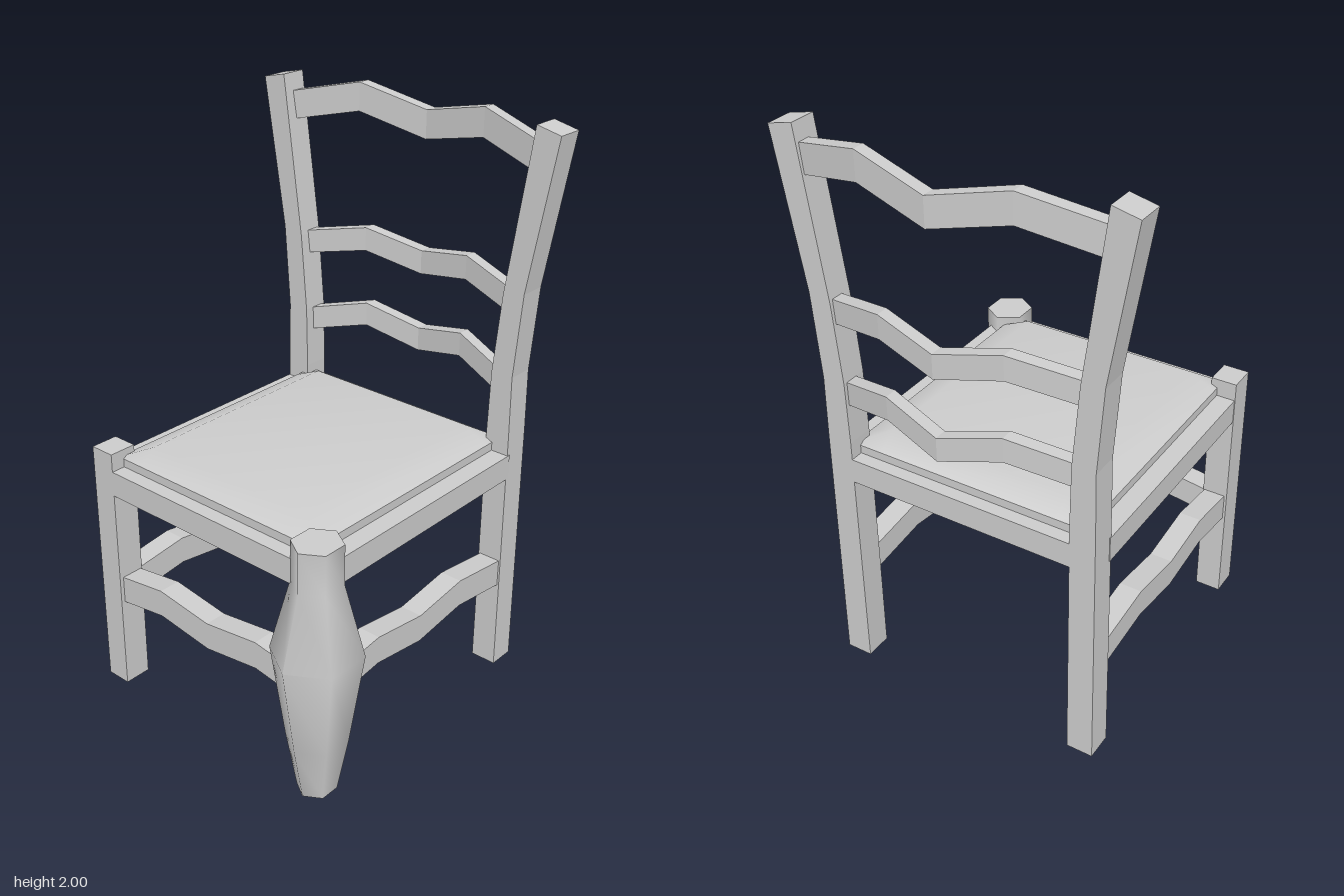
import * as THREE from 'three';
import { toCreasedNormals } from 'three/addons/utils/BufferGeometryUtils.js';

const flat = new THREE.MeshStandardMaterial({ color: 0xcccccc, flatShading: true });
const smooth = new THREE.MeshStandardMaterial({ color: 0xcccccc });

// Skin a row of four-cornered rings and close both ends.
function loft(rings) {
  const index = [];
  for (let i = 0; i < rings.length - 1; i++) {
    for (let j = 0; j < 4; j++) {
      const a = i * 4 + j, b = i * 4 + (j + 1) % 4;
      index.push(a, b, b + 4, a, b + 4, a + 4);
    }
  }
  const e = (rings.length - 1) * 4;
  index.push(0, 2, 1, 0, 3, 2, e, e + 1, e + 2, e, e + 2, e + 3);
  const g = new THREE.BufferGeometry();
  g.setAttribute('position', new THREE.Float32BufferAttribute(rings.flat(2), 3));
  g.setIndex(index);
  g.computeVertexNormals();
  return g;
}

// Bar along x; each station is [x, bottom y, z middle].
function wavyBar(stations, height, depth) {
  return loft(stations.map(([x, y, z]) => {
    const z0 = z - depth / 2, z1 = z + depth / 2;
    return [[x, y, z0], [x, y + height, z0], [x, y + height, z1], [x, y, z1]];
  }));
}

export function createModel() {
  const model = new THREE.Group();
  const add = (name, geometry, material = flat) => {
    const mesh = new THREE.Mesh(geometry, material);
    mesh.name = name;
    model.add(mesh);
    return mesh;
  };
  const box = (name, x0, x1, y0, y1, z0, z1) => {
    add(name, new THREE.BoxGeometry(x1 - x0, y1 - y0, z1 - z0))
      .position.set((x0 + x1) / 2, (y0 + y1) / 2, (z0 + z1) / 2);
  };

  // Back posts, splayed outward toward the top: [inner x, inner y, outer x, outer y]
  const post = [[0.41, 0, 0.505, 0], [0.41, 0.925, 0.5, 0.925], [0.415, 1.15, 0.497, 1.15],
    [0.44, 1.43, 0.52, 1.45], [0.52, 2, 0.61, 1.98]];
  for (const side of [1, -1]) {
    const rings = post.map(([xi, yi, xo, yo]) => {
      const [l, r] = side > 0 ? [[xi, yi], [xo, yo]] : [[-xo, yo], [-xi, yi]];
      return [[...l, -0.547], [...l, -0.45], [...r, -0.45], [...r, -0.547]];
    });
    add(side > 0 ? 'leftBackPost' : 'rightBackPost', loft(rings));
  }

  // Square front leg
  box('rightFrontLeg', -0.505, -0.412, 0, 0.925, 0.42, 0.52);

  // Six-sided turned front leg
  const profile = [[0, 0], [0.07, 0], [0.108, 0.2], [0.158, 0.53], [0.088, 0.78], [0.087, 0.922], [0, 0.922]];
  const turned = new THREE.LatheGeometry(profile.map(([r, y]) => new THREE.Vector2(r, y)), 6);
  turned.scale(0.935, 1, 1);
  add('leftFrontLeg', toCreasedNormals(turned, 1.15), smooth).position.set(0.455, 0, 0.472);

  // Seat frame
  box('frontRail', -0.415, 0.4, 0.77, 0.86, 0.43, 0.52);
  box('backRail', -0.42, 0.42, 0.77, 0.86, -0.547, -0.46);
  box('leftRail', 0.42, 0.503, 0.77, 0.86, -0.46, 0.415);
  box('rightRail', -0.503, -0.42, 0.77, 0.86, -0.46, 0.425);
  box('seatPanel', -0.43, 0.43, 0.77, 0.855, -0.5, 0.45);

  // Cushion with a raised middle
  const cushion = new THREE.BoxGeometry(3, 1, 3, 3, 1, 3);
  const p = cushion.attributes.position;
  const xs = [-0.435, -0.33, 0.33, 0.435], zs = [-0.5, -0.42, 0.4, 0.468];
  for (let i = 0; i < p.count; i++) {
    const cx = Math.round(p.getX(i) + 1.5), cz = Math.round(p.getZ(i) + 1.5);
    const inside = cx % 3 !== 0 && cz % 3 !== 0;
    p.setXYZ(i, xs[cx], p.getY(i) < 0 ? 0.85 : inside ? 0.937 : 0.89, zs[cz]);
  }
  cushion.computeVertexNormals();
  add('cushion', cushion, smooth);

  // Curved back slats: [end x, peak x, low y, peak y, height]
  const slats = { topSlat: [0.525, 0.26, 1.835, 1.895, 0.1], middleSlat: [0.45, 0.22, 1.355, 1.4, 0.085],
    lowerSlat: [0.42, 0.21, 1.063, 1.115, 0.085] };
  for (const [name, [end, peak, low, high, h]] of Object.entries(slats)) {
    add(name, wavyBar([[-end, low, -0.508], [-peak, high, -0.572], [0, low, -0.612],
      [peak, high, -0.572], [end, low, -0.508]], h, 0.046));
  }

  // Wavy stretchers at the front and both sides
  const stretcher = (end) => wavyBar([[-end, 0.338, 0], [-0.22, 0.367, 0], [0, 0.337, 0],
    [0.22, 0.367, 0], [end, 0.338, 0]], 0.1, 0.08);
  add('frontStretcher', stretcher(0.42)).position.z = 0.465;
  for (const side of [1, -1]) {
    const bar = add(side > 0 ? 'leftStretcher' : 'rightStretcher', stretcher(0.455));
    bar.rotation.y = Math.PI / 2;
    bar.position.x = side * 0.456;
  }
  return model;
}
